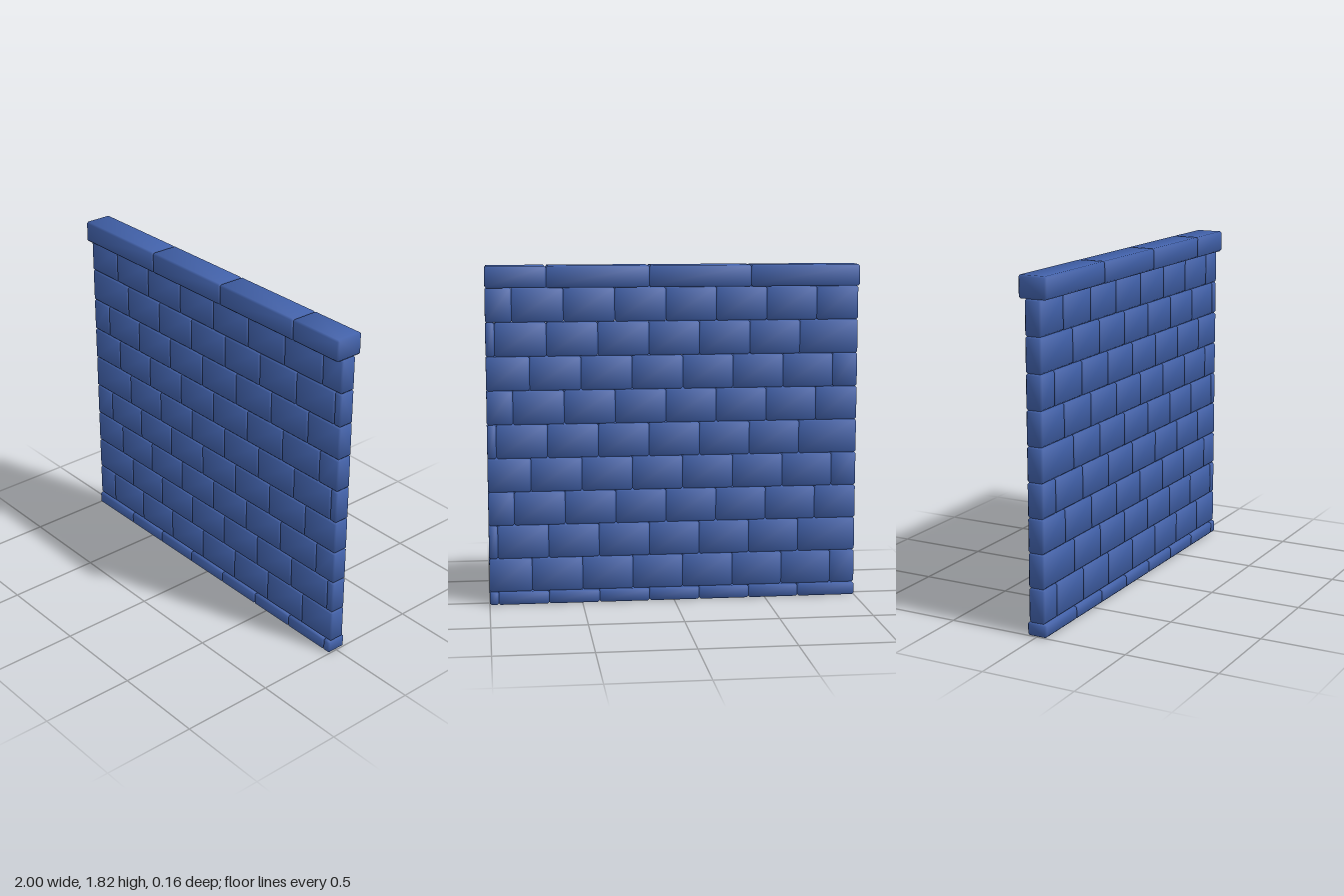
import * as THREE from 'three';

const material = new THREE.MeshStandardMaterial({ color: 0x4161aa });

// Box with chamfered edges and softly tilted corner normals.
// Each of the 8 corners (bits = signs of x, y, z) has one vertex per axis.
function chamferedBox(w, h, d, bevel) {
  const half = [w / 2, h / 2, d / 2];
  const positions = [], normals = [], index = [];
  const id = (axis, corner) => axis * 8 + corner;
  for (let axis = 0; axis < 3; axis++) {
    for (let corner = 0; corner < 8; corner++) {
      const n = new THREE.Vector3();
      for (let k = 0; k < 3; k++) {
        const s = (corner >> k) & 1 ? 1 : -1;
        positions.push(s * (half[k] - (k === axis ? 0 : bevel)));
        n.setComponent(k, s * (k === axis ? 1 : 0.39));
      }
      n.normalize();
      normals.push(n.x, n.y, n.z);
    }
  }
  const point = (i) => new THREE.Vector3().fromArray(positions, i * 3);
  // Adds a triangle or quad, turned to face outwards
  const face = (ids) => {
    const [a, b, c] = ids.map(point);
    const n = b.clone().sub(a).cross(c.clone().sub(a));
    const centre = ids.reduce((sum, i) => sum.add(point(i)), new THREE.Vector3());
    if (n.dot(centre) < 0) ids.reverse();
    for (let i = 2; i < ids.length; i++) index.push(ids[0], ids[i - 1], ids[i]);
  };
  for (let k = 0; k < 3; k++) {
    const p = (k + 1) % 3, q = (k + 2) % 3;
    const K = 1 << k, P = 1 << p, Q = 1 << q;
    // Two flat sides
    for (const s of [0, K]) face([id(k, s), id(k, s | P), id(k, s | P | Q), id(k, s | Q)]);
    // Four chamfers running along this axis
    for (const c of [0, P, Q, P | Q]) face([id(p, c), id(q, c), id(q, c | K), id(p, c | K)]);
  }
  // Corner triangles
  for (let c = 0; c < 8; c++) face([id(0, c), id(1, c), id(2, c)]);

  const geometry = new THREE.BufferGeometry();
  geometry.setAttribute('position', new THREE.Float32BufferAttribute(positions, 3));
  geometry.setAttribute('normal', new THREE.Float32BufferAttribute(normals, 3));
  geometry.setIndex(index);
  return geometry;
}

// One horizontal row of blocks, cut flush at both ends of the wall
function course(name, blockName, y0, y1, depth, firstJoint, length) {
  const group = new THREE.Group();
  group.name = name;
  const edges = [-1];
  for (let x = firstJoint; x < 0.99; x += length) edges.push(x);
  edges.push(1);
  for (let i = 1; i < edges.length; i++) {
    const x0 = edges[i - 1], x1 = edges[i];
    const block = new THREE.Mesh(chamferedBox(x1 - x0, y1 - y0, depth, 0.009), material);
    block.name = blockName;
    block.position.set((x0 + x1) / 2, (y0 + y1) / 2, 0);
    group.add(block);
  }
  return group;
}

export function createModel() {
  const wall = new THREE.Group();
  wall.name = 'brickWall';
  const brick = 0.2725, baseTop = 0.07, capBottom = 1.705, top = 1.82, rows = 9;

  // Low plinth
  wall.add(course('baseCourse', 'baseBlock', 0, baseTop, 0.11, -0.683, brick));

  // Brick courses, staggered by thirds
  const offsets = [-0.865, -0.683, -0.774];
  const rowHeight = (capBottom - baseTop) / rows;
  for (let r = 0; r < rows; r++) {
    const y = baseTop + r * rowHeight;
    wall.add(course(`brickCourse${r + 1}`, 'brick', y, y + rowHeight, 0.09, offsets[r % 3], brick));
  }

  // Wide coping stones
  wall.add(course('copingCourse', 'copingStone', capBottom, top, 0.156, -0.411, brick * 2));
  return wall;
}
